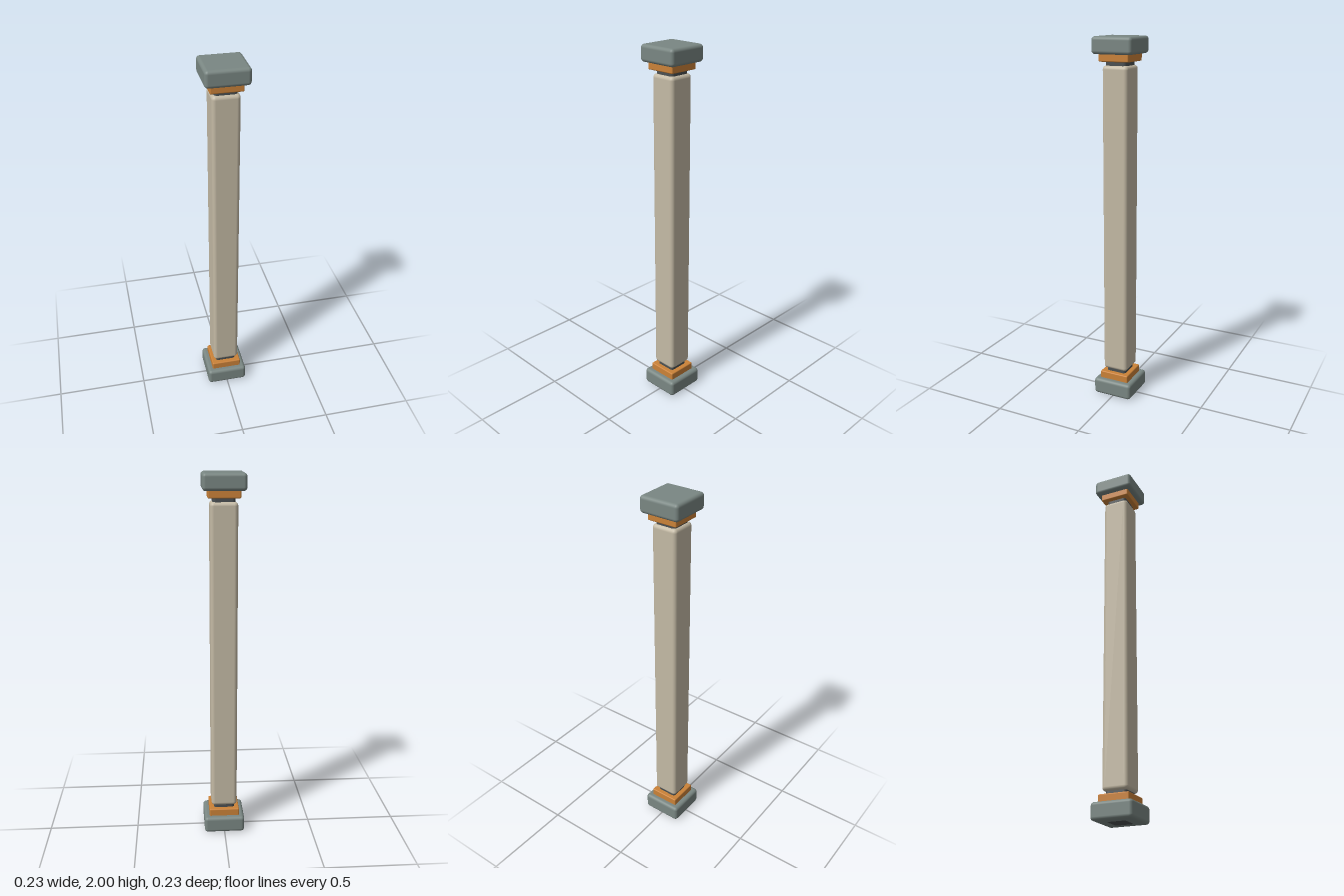
import * as THREE from 'three';
import { RoundedBoxGeometry } from 'three/addons/geometries/RoundedBoxGeometry.js';

const paint = (color) => new THREE.MeshStandardMaterial({ color });

// Square, soft-edged block spanning y0 to y1
function block(name, half, y0, y1, radius, material) {
  const geometry = new RoundedBoxGeometry(half * 2, y1 - y0, half * 2, 4, radius);
  const mesh = new THREE.Mesh(geometry, material);
  mesh.name = name;
  mesh.position.y = (y0 + y1) / 2;
  return mesh;
}

export function createModel() {
  const column = new THREE.Group();
  column.name = 'column';
  const stone = paint(0x7a8783);
  const bronze = paint(0xcb8238);
  const plaster = paint(0xc4baa5);
  const iron = paint(0x4b5052);

  // Inner core, seen at the two necks and flush with the underside
  column.add(block('core', 0.058, 0, 1.999, 0.016, iron));

  // Main shaft
  column.add(block('shaft', 0.072, 0.15, 1.855, 0.02, plaster));

  // Base: plinth and collar
  column.add(block('plinth', 0.113, 0.002, 0.094, 0.018, stone));
  column.add(block('lowerCollar', 0.084, 0.085, 0.134, 0.006, bronze));

  // Head: collar and cap
  column.add(block('upperCollar', 0.084, 1.874, 1.92, 0.006, bronze));
  column.add(block('cap', 0.113, 1.912, 2, 0.018, stone));

  return column;
}
